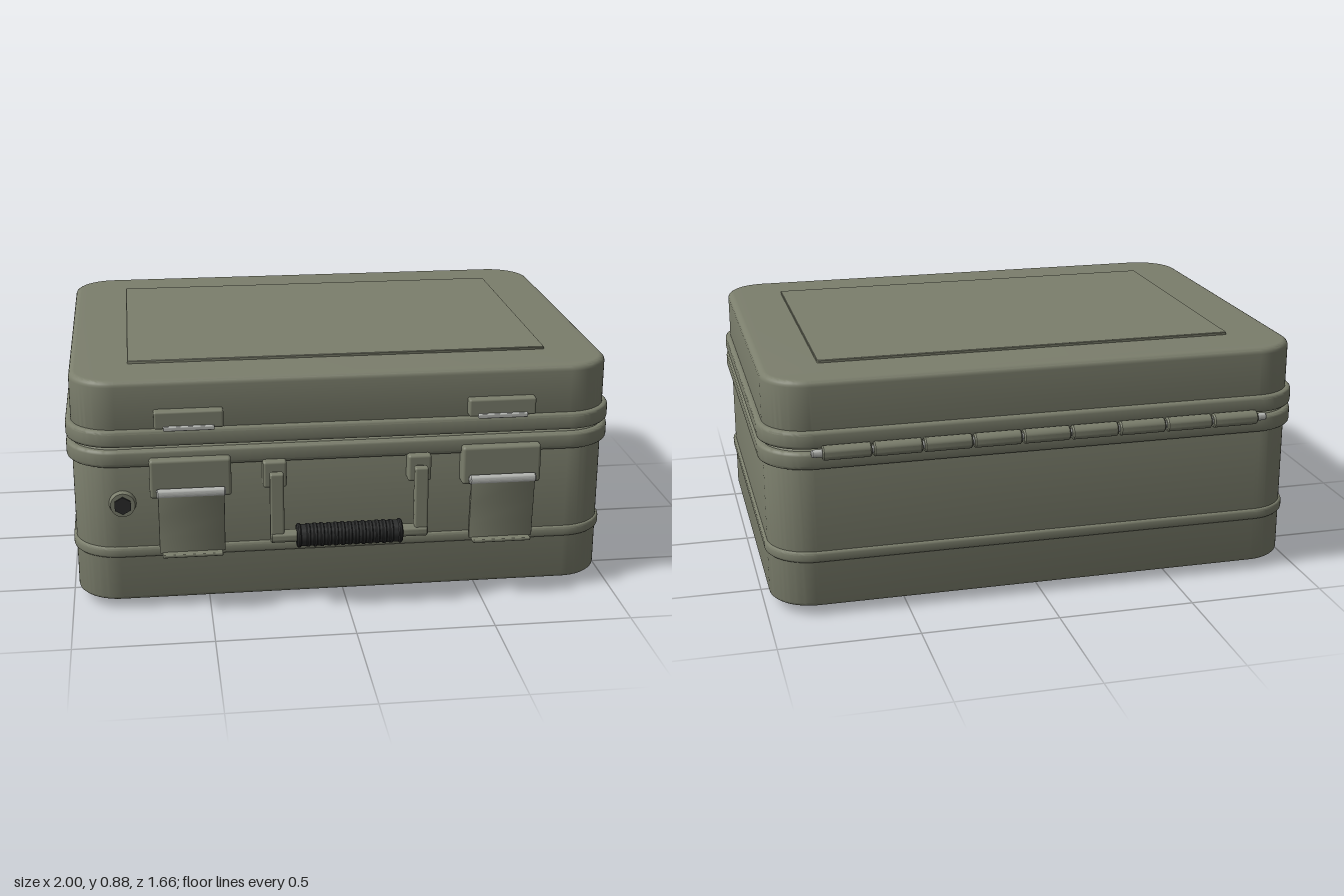
import * as THREE from 'three';
import { toCreasedNormals } from 'three/addons/utils/BufferGeometryUtils.js';
import { RoundedBoxGeometry } from 'three/addons/geometries/RoundedBoxGeometry.js';

const CZ = -0.035; // centre of the shell in z
const FRONT = 0.7; // front wall of the shell

function mat(name, color) {
  const m = new THREE.MeshStandardMaterial({ color });
  m.name = name;
  return m;
}

// Rounded rectangle slab lying flat, with eased edges on top and bottom
function slab(w, d, r, y0, y1, bevel, segments) {
  const x = w / 2 - bevel, y = d / 2 - bevel, c = Math.max(r - bevel, 0.002);
  const s = new THREE.Shape();
  s.moveTo(x, y - c);
  s.absarc(x - c, y - c, c, 0, Math.PI / 2);
  s.absarc(c - x, y - c, c, Math.PI / 2, Math.PI);
  s.absarc(c - x, c - y, c, Math.PI, Math.PI * 1.5);
  s.absarc(x - c, c - y, c, Math.PI * 1.5, Math.PI * 2);
  const g = new THREE.ExtrudeGeometry(s, {
    depth: y1 - y0 - 2 * bevel, bevelEnabled: true, bevelThickness: bevel,
    bevelSize: bevel, bevelSegments: segments, curveSegments: 12,
  });
  g.rotateX(-Math.PI / 2).translate(0, y0 + bevel, CZ);
  return toCreasedNormals(g, 0.6);
}

// Plate given by its side outline (z, y), extruded along x
function sidePlate(points, width, bevel) {
  const s = new THREE.Shape(points.map(([z, y]) => new THREE.Vector2(-z, y)));
  const g = new THREE.ExtrudeGeometry(s, {
    depth: width - 2 * bevel, bevelEnabled: bevel > 0, bevelThickness: bevel,
    bevelSize: bevel, bevelOffset: -bevel, bevelSegments: 2,
  });
  g.translate(0, 0, -width / 2 + bevel).rotateY(Math.PI / 2);
  return toCreasedNormals(g, 0.5);
}

// Cylinder along x with eased ends
function rod(radius, length, ease = 0.005) {
  const h = length / 2;
  const pts = [[0, -h], [radius - ease, -h], [radius, -h + ease],
    [radius, h - ease], [radius - ease, h], [0, h]];
  const g = new THREE.LatheGeometry(pts.map(p => new THREE.Vector2(...p)), 24);
  return toCreasedNormals(g.rotateZ(-Math.PI / 2), 0.6);
}

export function createModel() {
  const olive = mat('olive shell', 0x7b7e6c);
  const black = mat('black rubber', 0x2a2b2b);
  const steel = mat('steel', 0xb4b6b2);
  const model = new THREE.Group();
  model.name = 'hardCase';

  function add(parent, name, geometry, material, x = 0, y = 0, z = 0) {
    const m = new THREE.Mesh(geometry, material);
    m.name = name;
    m.position.set(x, y, z);
    parent.add(m);
    return m;
  }
  function group(name, x = 0) {
    const g = new THREE.Group();
    g.name = name;
    g.position.x = x;
    model.add(g);
    return g;
  }
  const box = (w, h, d, r = 0.008) => new RoundedBoxGeometry(w, h, d, 3, r);

  // Shell halves, raised lid panel and reinforcing bands
  add(model, 'baseShell', slab(1.96, 1.47, 0.16, 0.035, 0.625, 0.012, 3), olive);
  add(model, 'lidShell', slab(1.96, 1.47, 0.16, 0.625, 0.87, 0.022, 5), olive);
  add(model, 'lidPanel', slab(1.54, 1.05, 0.005, 0.86, 0.88, 0.002, 1), olive);
  add(model, 'lidBand', slab(2, 1.51, 0.18, 0.63, 0.693, 0.013, 3), olive);
  add(model, 'baseBand', slab(2, 1.51, 0.18, 0.555, 0.619, 0.013, 3), olive);
  add(model, 'lowerRib', slab(1.98, 1.49, 0.17, 0.205, 0.245, 0.01, 3), olive);

  // Rubber feet
  const footProfile = [[0, 0], [0.052, 0], [0.056, 0.008], [0.068, 0.012],
    [0.068, 0.022], [0.058, 0.026], [0.058, 0.04], [0, 0.04]];
  const foot = toCreasedNormals(new THREE.LatheGeometry(
    footProfile.map(p => new THREE.Vector2(...p)), 28), 0.6);
  for (const x of [-0.775, 0.775])
    for (const z of [-0.56, 0.49]) add(model, 'foot', foot, black, x, 0, z);

  // Latches: keeper on the lid, body, steel pivot and tilted lever
  const lever = [[0.762, 0.475], [0.783, 0.475], [0.776, 0.38], [0.768, 0.30],
    [0.766, 0.242], [0.748, 0.242], [0.75, 0.30], [0.757, 0.38]];
  for (const side of [-1, 1]) {
    const latch = group(side < 0 ? 'rightLatch' : 'leftLatch', side * 0.5625);
    add(latch, 'keeper', box(0.245, 0.065, 0.05), olive, 0, 0.732, FRONT + 0.01);
    add(latch, 'keeperHook', box(0.18, 0.016, 0.05, 0.004), steel, 0, 0.704, FRONT + 0.023);
    add(latch, 'latchBody', box(0.29, 0.145, 0.07, 0.012), olive, 0, 0.518, FRONT + 0.018);
    add(latch, 'latchPivot', rod(0.017, 0.245), steel, 0, 0.472, 0.769);
    add(latch, 'lever', sidePlate(lever, 0.235, 0.003), olive);
    add(latch, 'leverLip', box(0.215, 0.012, 0.045, 0.004), olive, 0, 0.239, 0.772);
  }

  // Carry handle: brackets, arms, stubs and ribbed grip
  const handle = group('handle');
  for (const side of [-1, 1]) {
    add(handle, 'handleBracket', box(0.085, 0.1, 0.055, 0.01), olive, side * 0.262, 0.517, FRONT + 0.022);
    add(handle, 'handlePivot', box(0.036, 0.036, 0.06), olive, side * 0.26, 0.512, 0.765);
    const arm = add(handle, 'handleArm', box(0.05, 0.262, 0.034), olive, side * 0.26, 0.408, 0.788);
    arm.rotation.x = -0.02;
    add(handle, 'handleStub', rod(0.023, 0.11), olive, side * 0.23, 0.297, 0.79);
    add(handle, 'gripCollar', rod(0.044, 0.016), black, side * 0.183, 0.297, 0.79);
  }
  add(handle, 'grip', rod(0.04, 0.37), black, 0, 0.297, 0.79);
  for (let i = -6; i <= 6; i++)
    add(handle, 'gripRib', rod(0.043, 0.017, 0.004), black, i * 0.025, 0.297, 0.79);

  // Pressure valve on the front wall
  const valve = group('pressureValve', -0.805);
  const ring = add(valve, 'valveRing', new THREE.CylinderGeometry(0.044, 0.05, 0.03, 32), olive, 0, 0.415, FRONT + 0.007);
  const cap = add(valve, 'valveCap', new THREE.CylinderGeometry(0.033, 0.033, 0.012, 6), black, 0, 0.415, FRONT + 0.023);
  ring.rotation.x = cap.rotation.x = Math.PI / 2;

  // Piano hinge along the back
  const hinge = group('hinge');
  const count = 9, pitch = 0.178;
  const knuckle = rod(0.026, pitch - 0.007);
  for (let i = 0; i < count; i++)
    add(hinge, 'hingeKnuckle', knuckle, olive, (i - (count - 1) / 2) * pitch, 0.622, -0.805);
  add(hinge, 'hingePin', rod(0.014, 1.67), steel, 0, 0.622, -0.805);

  return model;
}
